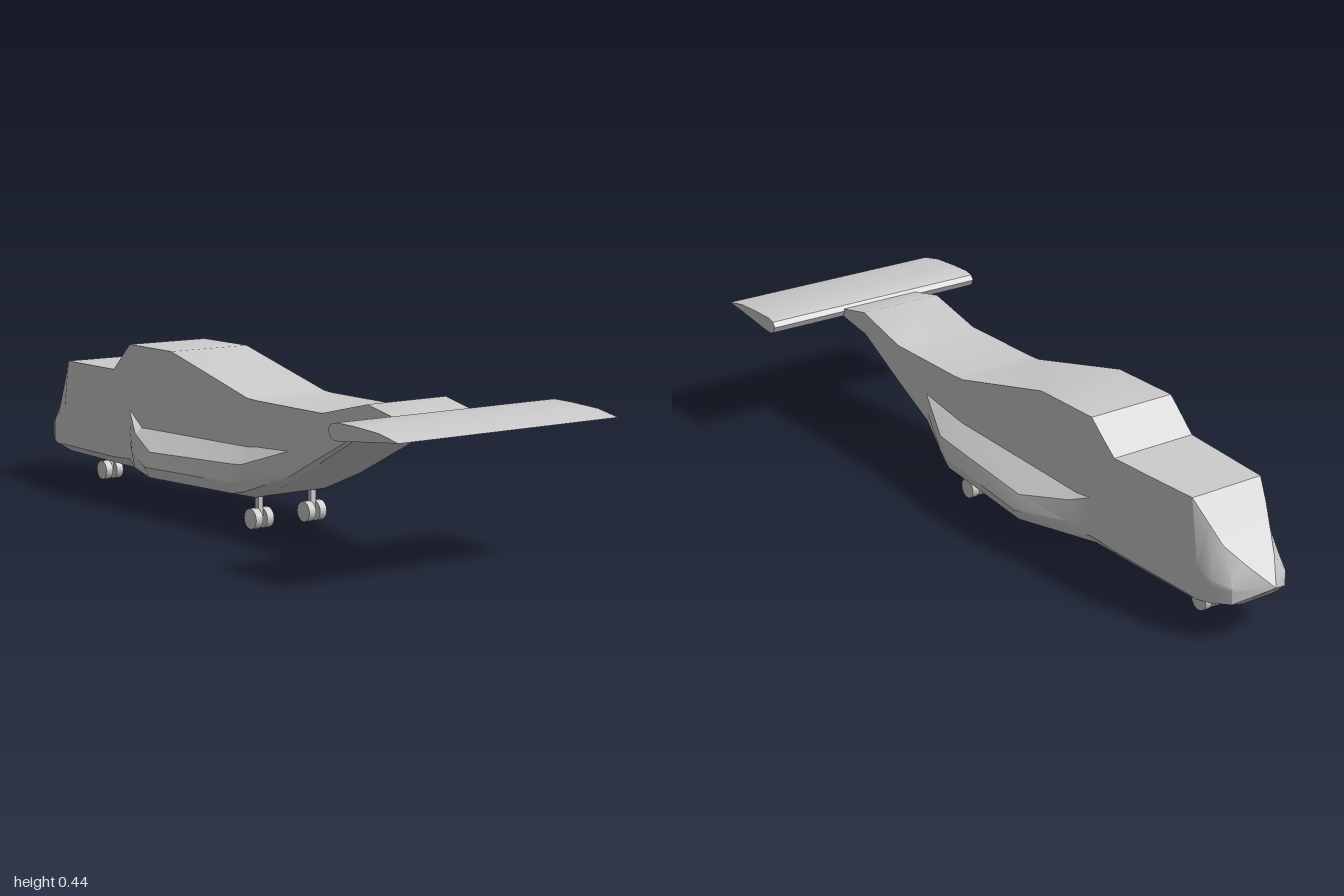
import * as THREE from 'three';
import { toCreasedNormals } from 'three/addons/utils/BufferGeometryUtils.js';

const material = new THREE.MeshStandardMaterial({ color: 0xcccccc, side: THREE.DoubleSide });
const CX = -0.013; // the fuselage sits slightly off the tailplane's centre

// Half section with straight sides: top edge, four wall points, bottom edge
function plain(z, yB, yT, wTop, w, wBottom) {
  const at = t => yB + (yT - yB) * t;
  return { z, half: [[wTop, yT], [w, at(0.48)], [w, at(0.38)], [w, at(0.24)], [w, at(0.08)], [wBottom, yB]] };
}

// Half section with the side bulge
function bulged(z, yT, yWall, outer, mid, low, wBottom, yB) {
  return { z, half: [[0.127, yT], [0.127, yWall], outer, mid, low, [wBottom, yB]] };
}

// Skin a list of mirrored sections running from -z to +z
function loft(sections) {
  const positions = [], index = [];
  const n = sections[0].half.length * 2;
  for (const { z, half } of sections) {
    for (const [x, y] of half) positions.push(x, y, z);
    for (const [x, y] of [...half].reverse()) positions.push(-x, y, z);
  }
  for (let i = 0; i < sections.length - 1; i++) {
    for (let j = 0; j < n; j++) {
      const a = i * n + j, b = i * n + (j + 1) % n;
      if (i > 0) index.push(a, a + n, b);
      index.push(b, a + n, b + n);
    }
  }
  const last = (sections.length - 1) * n;
  for (let j = 1; j < n - 1; j++) index.push(last, last + j + 1, last + j);
  const g = new THREE.BufferGeometry();
  g.setAttribute('position', new THREE.Float32BufferAttribute(positions, 3));
  g.setIndex(index);
  return toCreasedNormals(g, 0.45);
}

function add(parent, geometry, name, x = 0, y = 0, z = 0) {
  const mesh = new THREE.Mesh(geometry, material);
  mesh.name = name;
  mesh.position.set(x, y, z);
  parent.add(mesh);
  return mesh;
}

// Twin wheels on a short strut
function landingGear(name, x, z) {
  const gear = new THREE.Group();
  gear.name = name;
  gear.position.set(x, 0, z);
  add(gear, new THREE.BoxGeometry(0.016, 0.07, 0.014), 'strut', 0, 0.06, 0);
  for (const side of [-1, 1]) {
    const tyre = new THREE.CylinderGeometry(0.028, 0.028, 0.022, 14);
    tyre.rotateZ(Math.PI / 2);
    add(gear, tyre, 'wheel', side * 0.018, 0.028, 0);
  }
  return gear;
}

export function createModel() {
  const model = new THREE.Group();
  model.name = 'aircraft';

  // Fuselage: pointed nose, raised back, side bulges, upswept tail boom
  const fuselage = loft([
    plain(-1, 0.16, 0.16, 0, 0, 0),
    plain(-0.94, 0.107, 0.21, 0.045, 0.085, 0.05),
    plain(-0.89, 0.094, 0.25, 0.075, 0.11, 0.075),
    plain(-0.85, 0.086, 0.305, 0.093, 0.121, 0.09),
    plain(-0.81, 0.085, 0.355, 0.108, 0.123, 0.1),
    plain(-0.53, 0.085, 0.36, 0.125, 0.127, 0.105),
    plain(-0.47, 0.085, 0.413, 0.127, 0.127, 0.105),
    plain(-0.44, 0.085, 0.44, 0.127, 0.13, 0.105),
    bulged(-0.38, 0.44, 0.21, [0.15, 0.196], [0.161, 0.14], [0.153, 0.1], 0.105, 0.085),
    bulged(-0.23, 0.44, 0.214, [0.2, 0.168], [0.215, 0.127], [0.2, 0.097], 0.105, 0.085),
    bulged(0.13, 0.352, 0.223, [0.179, 0.183], [0.186, 0.135], [0.176, 0.104], 0.1, 0.085),
    bulged(0.17, 0.35, 0.228, [0.176, 0.186], [0.177, 0.142], [0.165, 0.113], 0.1, 0.095),
    bulged(0.31, 0.35, 0.25, [0.127, 0.235], [0.127, 0.2], [0.125, 0.168], 0.108, 0.155),
    plain(0.45, 0.23, 0.35, 0.127, 0.127, 0.116),
    plain(0.63, 0.325, 0.393, 0.125, 0.125, 0.122),
    plain(0.76, 0.348, 0.366, 0.123, 0.123, 0.123),
  ]);
  add(model, fuselage, 'fuselage', CX);

  // Tailplane: a tapering aerofoil profile swept across the span
  const profile = [[0.74, 0.364], [0.75, 0.378], [0.775, 0.384], [0.84, 0.383], [0.93, 0.378],
    [1, 0.364], [0.9, 0.354], [0.8, 0.342], [0.765, 0.34], [0.75, 0.346]];
  const shape = new THREE.Shape(profile.map(([z, y]) => new THREE.Vector2(-z, y)));
  const wing = new THREE.ExtrudeGeometry(shape, { depth: 0.686, bevelEnabled: false });
  wing.translate(0, 0, -0.343);
  wing.rotateY(Math.PI / 2);
  add(model, toCreasedNormals(wing, 0.6), 'tailplane');

  // Undercarriage
  model.add(landingGear('noseGear', -0.017, -0.75));
  model.add(landingGear('rightMainGear', -0.098, 0.125));
  model.add(landingGear('leftMainGear', 0.077, 0.125));
  return model;
}
